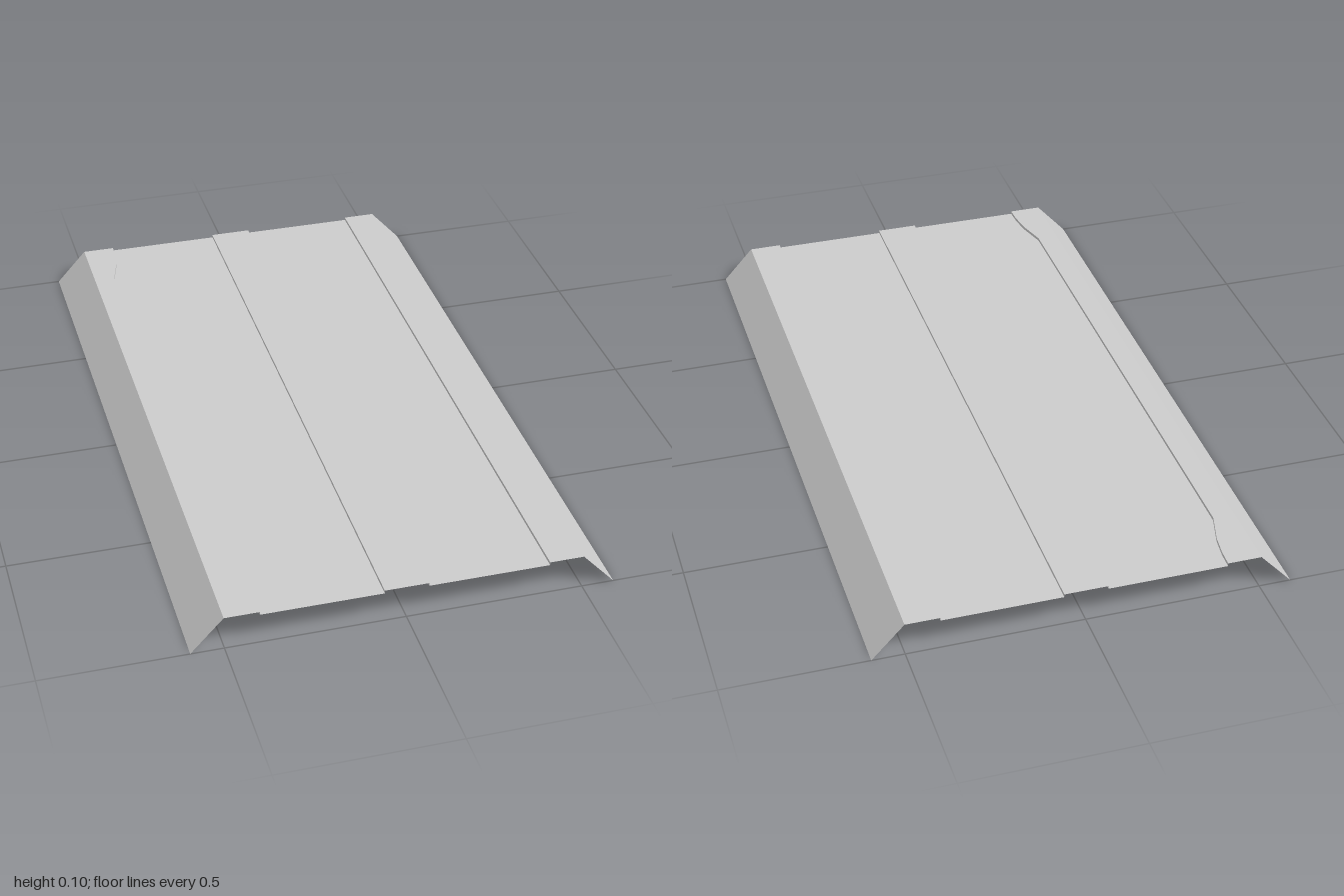
import * as THREE from 'three';

const TOP = 0.1, LOW = 0.091;
const material = new THREE.MeshStandardMaterial({ color: 0xcccccc, side: THREE.DoubleSide, flatShading: true });

// Half of the plan outline of the notched step: distance along the sheet, and x there
const notch = [[0.8, -0.438], [0.89, -0.413], [0.95, -0.405], [1, -0.403]];
const notched = [...notch.map(([z, x]) => [-z, x]).reverse(), ...notch];
const stations = notched.map(([z]) => z);

const straight = (x) => stations.map(() => x);
const curved = notched.map(([, x]) => x);

// Thin band along z between two edges of the cross-section, given left to right
function band(name, [xa, ya], [xb, yb]) {
  const positions = [], indices = [];
  stations.forEach((z, i) => {
    positions.push(xa[i], ya, z, xb[i], yb, z);
    if (i > 0) {
      const k = 2 * i;
      indices.push(k - 2, k, k + 1, k - 2, k + 1, k - 1);
    }
  });
  const geometry = new THREE.BufferGeometry();
  geometry.setAttribute('position', new THREE.Float32BufferAttribute(positions, 3));
  geometry.setIndex(indices);
  const flat = geometry.toNonIndexed();
  flat.computeVertexNormals();
  const mesh = new THREE.Mesh(flat, material);
  mesh.name = name;
  return mesh;
}

export function createModel() {
  const group = new THREE.Group();
  group.name = 'foldedRoofPanel';

  // Cross-section from right to left flap; each entry names the band that ends at it
  const section = [
    [straight(-0.592), 0],
    [straight(-0.5), TOP, 'rightFlap'],
    [curved, TOP, 'rightRaisedEdge'],
    [curved, LOW, 'notchedStep'],
    [straight(-0.062), LOW, 'rightPanel'],
    [straight(-0.062), TOP, 'ribRightStep'],
    [straight(0.062), TOP, 'centreRib'],
    [straight(0.062), LOW, 'ribLeftStep'],
    [straight(0.403), LOW, 'leftPanel'],
    [straight(0.403), TOP, 'leftStep'],
    [straight(0.5), TOP, 'leftRaisedEdge'],
    [straight(0.592), 0, 'leftFlap'],
  ];
  for (let i = 1; i < section.length; i++) {
    group.add(band(section[i][2], section[i - 1], section[i]));
  }
  return group;
}
